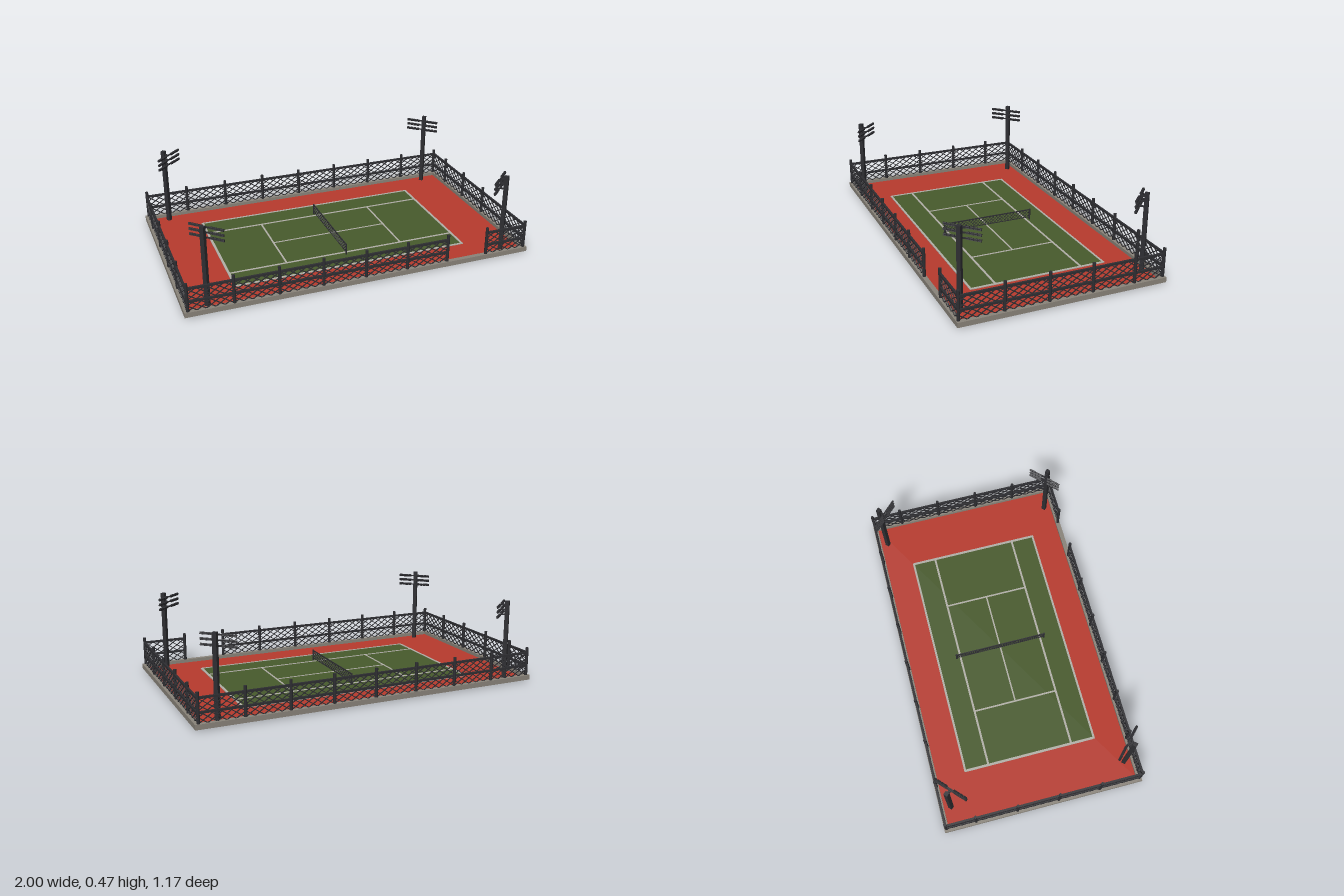
import * as THREE from 'three';
import { mergeGeometries } from 'three/addons/utils/BufferGeometryUtils.js';

function material(name, color) {
  const m = new THREE.MeshStandardMaterial({ color });
  m.name = name;
  return m;
}

// Box geometry from its centre and size
function boxAt(x, y, z, w, h, d) {
  return new THREE.BoxGeometry(w, h, d).translate(x, y, z);
}

// Crossed wires clipped to a rectangle in the xy plane
function lattice(x0, x1, y0, y1, cellW, cellH, wire) {
  const parts = [];
  const slope = cellH / cellW;
  const run = (y1 - y0) / slope;
  const extra = Math.ceil(run / cellW) * cellW;
  for (const dir of [1, -1]) {
    for (let c = x0 - extra; c <= x1 + extra + 1e-6; c += cellW) {
      const a = Math.max(x0, Math.min(c, c + dir * run));
      const b = Math.min(x1, Math.max(c, c + dir * run));
      if (b - a < 0.004) continue;
      const ya = y0 + dir * (a - c) * slope;
      const yb = y0 + dir * (b - c) * slope;
      const g = new THREE.BoxGeometry(Math.hypot(b - a, yb - ya), wire, wire);
      g.rotateZ(Math.atan2(yb - ya, b - a));
      g.translate((a + b) / 2, (ya + yb) / 2, 0);
      parts.push(g);
    }
  }
  return mergeGeometries(parts);
}

export function createModel() {
  const model = new THREE.Group();
  model.name = 'tennisCourt';

  const red = material('red surround', 0xb83a2d);
  const green = material('green court', 0x485b2c);
  const white = material('line paint', 0xb2b0a8);
  const stone = material('kerb concrete', 0x8a847a);
  const metal = material('dark metal', 0x2e2e32);

  const add = (parent, name, geometry, mat) => {
    const mesh = new THREE.Mesh(geometry, mat);
    mesh.name = name;
    parent.add(mesh);
    return mesh;
  };

  // Ground and raised kerb
  const X = 1, Z = 0.587, K = 0.026;
  add(model, 'surround', boxAt(0, 0.0125, 0, 2 * (X - K), 0.009, 2 * (Z - K)), red);
  for (const s of [-1, 1]) {
    add(model, 'longKerb', boxAt(0, 0.022, s * (Z - K / 2), 2 * X, 0.028, K), stone);
    add(model, 'shortKerb', boxAt(s * (X - K / 2), 0.022, 0, K, 0.028, 2 * (Z - K)), stone);
  }

  // Playing surface and painted lines
  add(model, 'court', boxAt(0, 0.0175, 0, 1.376, 0.003, 0.788), green);
  const line = (x, z, w, d) => add(model, 'courtLine', boxAt(x, 0.019, z, w, 0.004, d), white);
  for (const s of [-1, 1]) {
    line(0, s * 0.391, 1.38, 0.012);
    line(s * 0.684, 0, 0.014, 0.77);
    line(0, s * 0.252, 1.354, 0.012);
    line(s * 0.35, 0, 0.01, 0.492);
  }
  line(0, 0, 0.69, 0.009);

  // Net with its posts, tape and mesh
  const net = new THREE.Group();
  net.name = 'net';
  net.rotation.y = -Math.PI / 2;
  model.add(net);
  for (const s of [-1, 1]) {
    add(net, 'netPost', new THREE.CylinderGeometry(0.005, 0.005, 0.084, 8).translate(s * 0.275, 0.045, 0), metal);
  }
  add(net, 'netTape', boxAt(0, 0.082, 0, 0.55, 0.006, 0.005), metal);
  add(net, 'netFoot', boxAt(0, 0.034, 0, 0.55, 0.003, 0.004), metal);
  add(net, 'netMesh', lattice(-0.275, 0.275, 0.034, 0.082, 0.022, 0.02, 0.0025), metal);

  // Fence runs: posts, two rails and wire panels along local x
  function fence(name, stops, gate, ownsEnds) {
    const run = new THREE.Group();
    run.name = name;
    stops.forEach((u, i) => {
      const end = i === 0 || i === stops.length - 1;
      if (!end || ownsEnds) {
        add(run, 'fencePost', new THREE.CylinderGeometry(0.009, 0.009, 0.166, 8).translate(u, 0.117, 0), metal);
      }
      if (i === stops.length - 1 || i === gate) return;
      const v = stops[i + 1];
      for (const y of [0.169, 0.093]) {
        add(run, 'fenceRail', boxAt((u + v) / 2, y, 0, v - u, 0.012, 0.012), metal);
      }
      add(run, 'wirePanel', lattice(u, v, 0.035, 0.168, 0.049, 0.033, 0.0045), metal);
    });
    model.add(run);
    return run;
  }
  const longStops = Array.from({ length: 9 }, (_, i) => -0.98 + i * 0.245);
  const shortStops = [-0.574, -0.4, -0.156, 0.089, 0.333, 0.574];
  fence('frontFence', longStops, 6, true).position.z = 0.574;
  fence('backFence', longStops, -1, true).position.z = -0.574;
  for (const s of [-1, 1]) {
    const side = fence(s > 0 ? 'leftFence' : 'rightFence', shortStops, -1, false);
    side.rotation.y = -Math.PI / 2;
    side.position.x = s * 0.983;
  }

  // Corner floodlights turned toward the court
  for (const sx of [-1, 1]) {
    for (const sz of [-1, 1]) {
      const tower = new THREE.Group();
      tower.name = 'floodlight';
      tower.position.set(sx * 0.865, 0, sz * 0.52);
      tower.rotation.y = Math.atan2(-sx * 0.69, -sz * 0.72);
      add(tower, 'pole', boxAt(0, 0.2375, 0, 0.023, 0.475, 0.023), metal);
      for (const y of [0.396, 0.425, 0.454]) {
        add(tower, 'bracket', boxAt(0, y, 0.02, 0.008, 0.008, 0.03), metal);
        add(tower, 'crossbar', boxAt(0, y, 0.034, 0.19, 0.007, 0.007), metal);
        for (const s of [-1, 1]) {
          for (let i = 0; i < 4; i++) {
            const lamp = add(tower, 'lamp', new THREE.BoxGeometry(0.018, 0.013, 0.01), metal);
            lamp.position.set(s * (0.029 + i * 0.021), y, 0.036);
            lamp.rotation.x = 0.35;
          }
        }
      }
      model.add(tower);
    }
  }
  return model;
}
